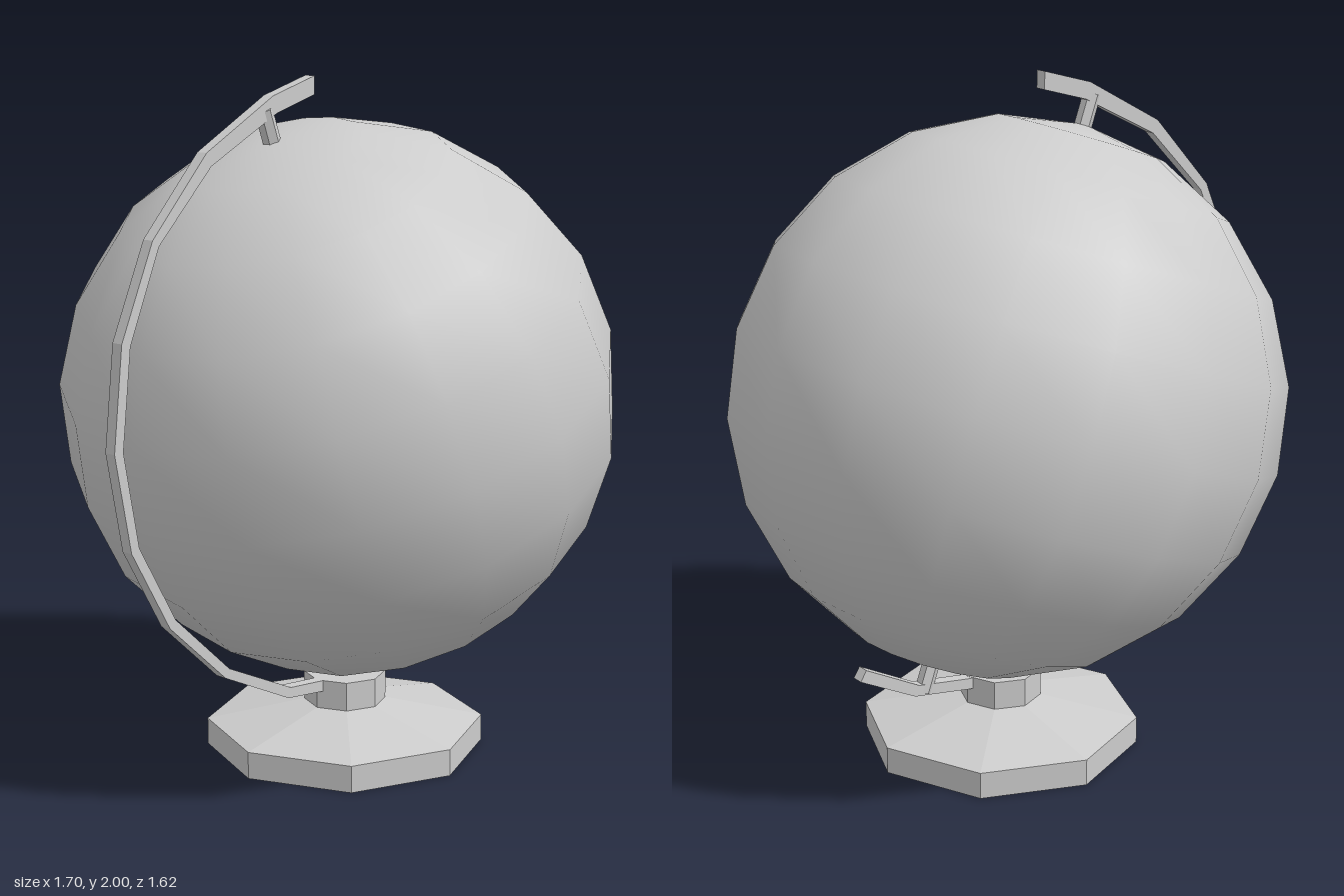
import * as THREE from 'three';

const TILT = THREE.MathUtils.degToRad(20);
const CENTER = new THREE.Vector3(0.037, 1.07, 0);
const RADIUS = 0.81;

export function createModel() {
  const group = new THREE.Group();
  const smoothGrey = new THREE.MeshStandardMaterial({ color: 0xcccccc });
  smoothGrey.name = 'light grey';

  const add = (name, geometry, parent = group) => {
    const mesh = new THREE.Mesh(geometry, smoothGrey);
    mesh.name = name;
    parent.add(mesh);
    return mesh;
  };
  const faceted = (geometry) => {
    const g = geometry.index ? geometry.toNonIndexed() : geometry;
    g.computeVertexNormals();
    return g;
  };

  // Ball and its two pivots share the tilted axis
  const axis = new THREE.Group();
  axis.name = 'tiltedGlobe';
  axis.position.copy(CENTER);
  axis.rotation.z = TILT;
  group.add(axis);
  add('ball', new THREE.SphereGeometry(RADIUS, 16, 10), axis);
  for (const [name, side] of [['topPivot', 1], ['bottomPivot', -1]]) {
    const pin = add(name, faceted(new THREE.CylinderGeometry(0.026, 0.026, 0.12, 6)), axis);
    pin.position.y = side * 0.84;
  }

  // Curved arm: outer edge top to bottom, then inner edge back up
  const outer = [
    [-0.085, 2.0], [-0.25, 1.953], [-0.505, 1.815], [-0.705, 1.6], [-0.82, 1.34],
    [-0.853, 1.05], [-0.8, 0.77], [-0.665, 0.53], [-0.455, 0.335], [-0.2, 0.21],
    [0.06, 0.18], [0.19, 0.192], [0.385, 0.225], [0.573, 0.325],
  ];
  const inner = [
    [0.553, 0.356], [0.37, 0.256], [0.19, 0.226], [0.06, 0.215], [-0.19, 0.24],
    [-0.44, 0.36], [-0.643, 0.55], [-0.772, 0.78], [-0.822, 1.05], [-0.79, 1.33],
    [-0.682, 1.583], [-0.488, 1.778], [-0.235, 1.905], [-0.085, 1.948],
  ];
  const shape = new THREE.Shape([...outer, ...inner].map(([x, y]) => new THREE.Vector2(x, y)));
  const armGeometry = new THREE.ExtrudeGeometry(shape, { depth: 0.036, bevelEnabled: false });
  armGeometry.translate(0, 0, -0.018);
  add('arm', armGeometry);

  // Octagonal stand: foot, sloped shoulder and neck in one turned profile
  const profile = [[0, 0], [0.413, 0], [0.413, 0.08], [0.122, 0.14], [0.122, 0.226], [0, 0.226]];
  const stand = add('stand', faceted(new THREE.LatheGeometry(
    profile.map(([x, y]) => new THREE.Vector2(x, y)), 8)));
  stand.position.x = 0.0625;

  return group;
}
